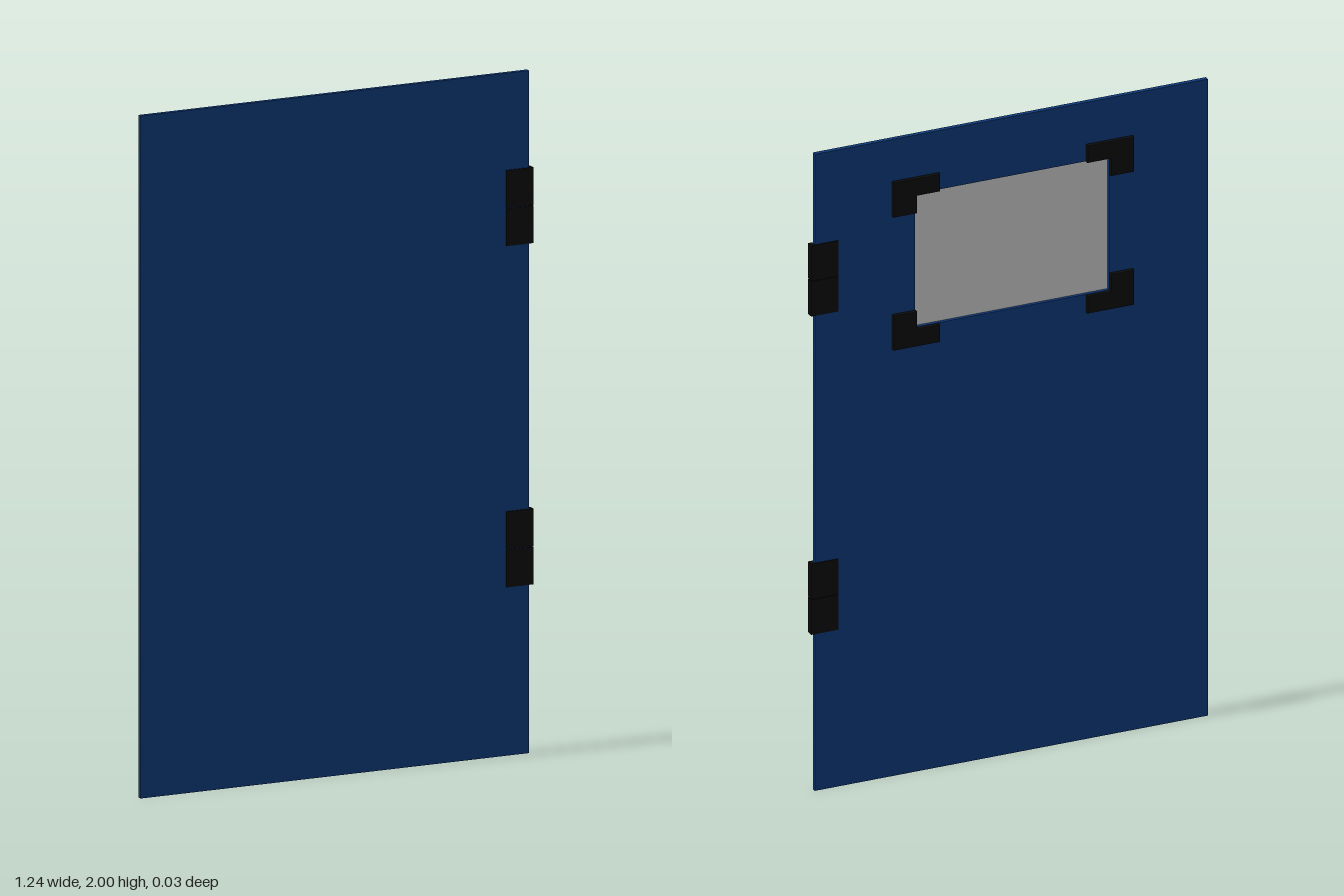
import * as THREE from 'three';

const blue = new THREE.MeshStandardMaterial({ name: 'bluePaint', color: 0x0e3878 });
const black = new THREE.MeshStandardMaterial({ name: 'blackPlastic', color: 0x0b0b0b });
const grey = new THREE.MeshStandardMaterial({ name: 'greyPane', color: 0xc8c8c8 });

// Door outline and window opening
const DOOR = { x0: -0.62, x1: 0.604, y0: 0, y1: 2 };
const WIN = { x0: -0.312, x1: 0.292, y0: 1.397, y1: 1.815 };
const HALF = 0.007;   // half the door's thickness
const PANE_Z = 0.004; // depth of the recessed pane

function rect(path, { x0, x1, y0, y1 }) {
  path.moveTo(x0, y0);
  path.lineTo(x1, y0);
  path.lineTo(x1, y1);
  path.lineTo(x0, y1);
  path.closePath();
  return path;
}

function box(name, material, { x0, x1, y0, y1 }, z0, z1) {
  const mesh = new THREE.Mesh(new THREE.BoxGeometry(x1 - x0, y1 - y0, z1 - z0), material);
  mesh.position.set((x0 + x1) / 2, (y0 + y1) / 2, (z0 + z1) / 2);
  mesh.name = name;
  return mesh;
}

// L-shaped clip around a window corner; sx, sy point away from the window
function cornerClip(name, x, y, sx, sy) {
  const w = 0.073, h = 0.055, bevel = 0.003;
  const b = bevel;
  const pts = [[-w + b, b], [b, b], [b, -h + b], [w - b, -h + b], [w - b, h - b], [-w + b, h - b]];
  const shape = new THREE.Shape(pts.map(([px, py]) => new THREE.Vector2(px * sx, py * sy)));
  const geometry = new THREE.ExtrudeGeometry(shape, {
    depth: 0.009, bevelThickness: bevel, bevelSize: bevel, bevelSegments: 2,
  });
  const mesh = new THREE.Mesh(geometry, black);
  mesh.position.set(x, y, -0.019);
  mesh.name = name;
  return mesh;
}

export function createModel() {
  const model = new THREE.Group();
  model.name = 'cabinetDoor';

  // Back layer with the window opening, closed by a plain front skin
  const outline = rect(new THREE.Shape(), DOOR);
  outline.holes.push(rect(new THREE.Path(), WIN));
  const frame = new THREE.Mesh(
    new THREE.ExtrudeGeometry(outline, { depth: PANE_Z + HALF, bevelEnabled: false }), blue);
  frame.position.z = -HALF;
  frame.name = 'doorFrame';
  model.add(frame, box('doorSkin', blue, DOOR, PANE_Z, HALF));

  // Pane at the bottom of the recess
  model.add(box('windowPane', grey, WIN, PANE_Z - 0.001, PANE_Z + 0.001));

  // Clips on the four window corners
  for (const [side, x, sx] of [['Right', WIN.x0, -1], ['Left', WIN.x1, 1]]) {
    for (const [level, y, sy] of [['lower', WIN.y0, -1], ['upper', WIN.y1, 1]]) {
      model.add(cornerClip(`${level}${side}Clip`, x, y, sx, sy));
    }
  }

  // Two hinges, each of two halves meeting at a fine seam
  for (const [name, y] of [['lowerHinge', 0.605], ['upperHinge', 1.605]]) {
    const hinge = new THREE.Group();
    hinge.name = name;
    for (const s of [-1, 1]) {
      const leaf = { x0: 0.532, x1: 0.617, y0: y + s * 0.056 - 0.055, y1: y + s * 0.056 + 0.055 };
      hinge.add(box('hingeLeaf', black, leaf, -0.0105, 0.0105));
    }
    model.add(hinge);
  }

  // The door stands very slightly ajar
  model.rotation.y = 0.005;
  model.position.z = 0.005;
  const root = new THREE.Group();
  root.name = 'door';
  root.add(model);
  return root;
}
